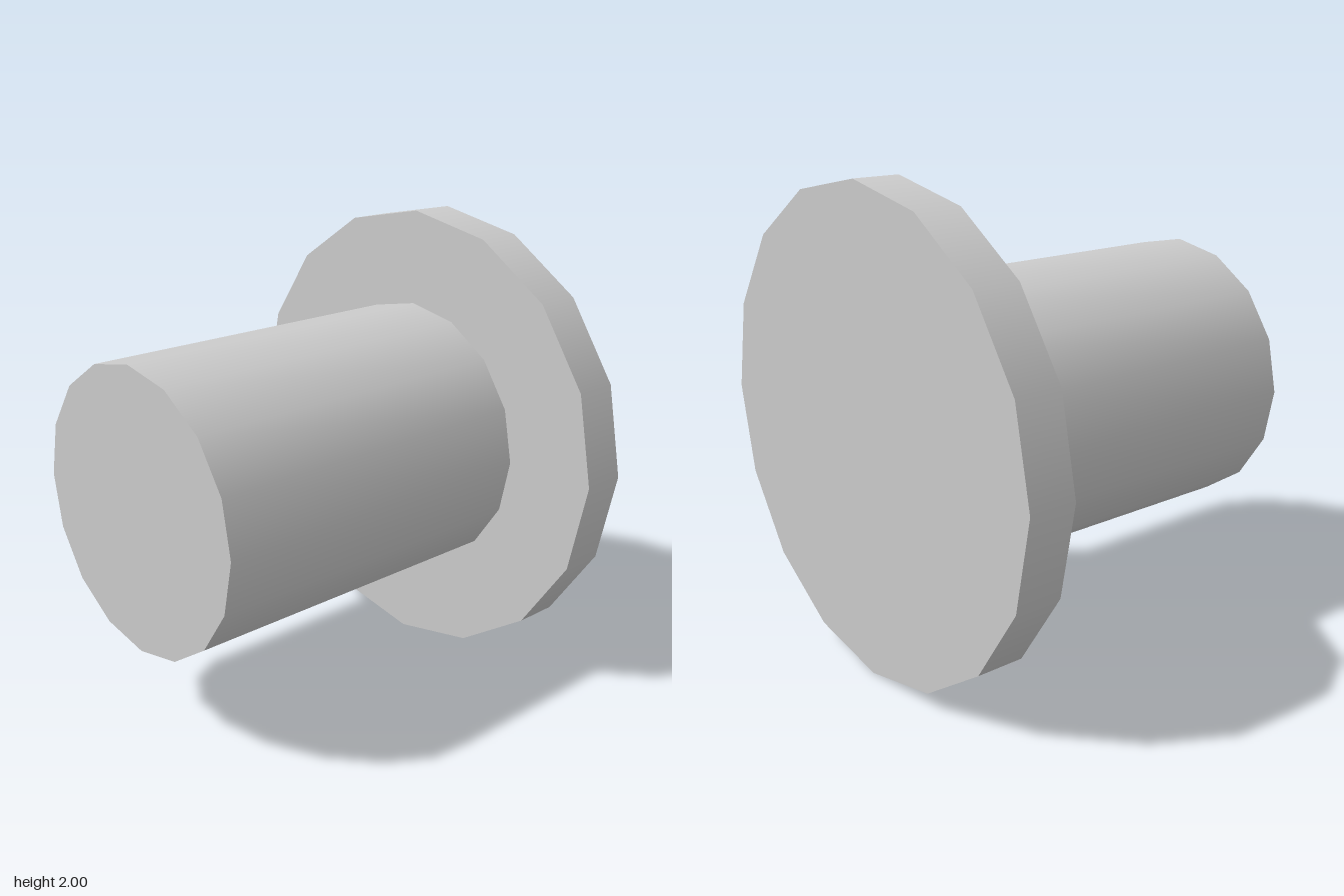
import * as THREE from 'three';

export function createModel() {
  const model = new THREE.Group();
  const material = new THREE.MeshStandardMaterial({ color: 0xcccccc });

  // 16-sided, smooth-sided disc lying along z between two depths
  function addCylinder(name, radius, zBack, zFront) {
    const geometry = new THREE.CylinderGeometry(radius, radius, zFront - zBack, 16);
    geometry.rotateX(Math.PI / 2);
    const mesh = new THREE.Mesh(geometry, material);
    mesh.name = name;
    mesh.position.set(0, 1, (zBack + zFront) / 2);
    model.add(mesh);
  }

  // Wide flange at the back, narrower shaft reaching forward
  addCylinder('flange', 1, -0.86, -0.66);
  addCylinder('shaft', 0.593, -0.66, 0.86);

  return model;
}
